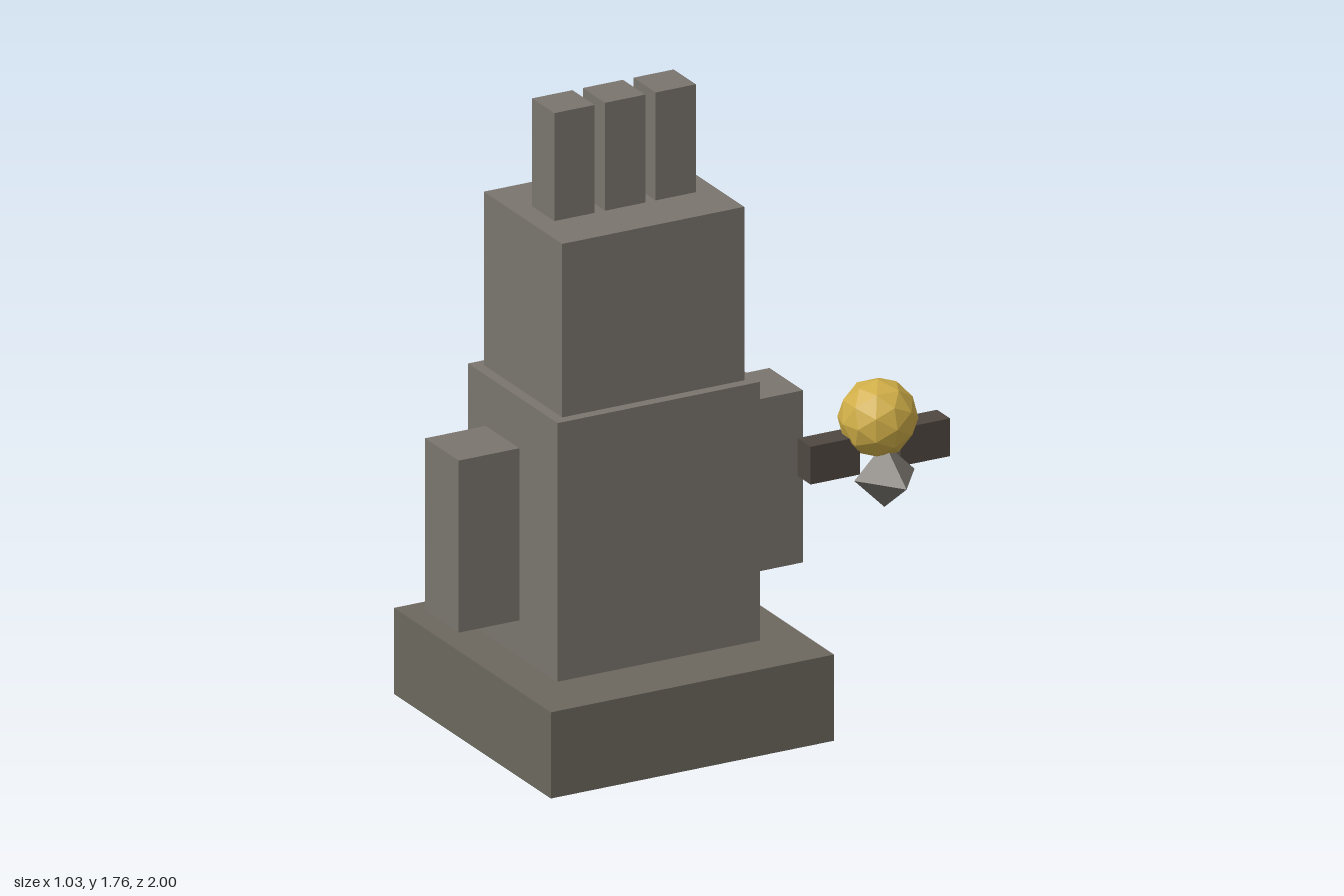
import * as THREE from 'three';

const material = (color) => new THREE.MeshStandardMaterial({ color, flatShading: true });

export function createModel() {
  const model = new THREE.Group();
  const stone = material(0x7a756e);
  const darkStone = material(0x6c685f);
  const wingMaterial = material(0x4f4841);
  const gold = material(0xd0ae48);

  const add = (parent, name, geometry, mat, x, y, z) => {
    const mesh = new THREE.Mesh(geometry, mat);
    mesh.name = name;
    mesh.position.set(x, y, z);
    parent.add(mesh);
    return mesh;
  };
  // Box placed by the height of its underside
  const block = (parent, name, mat, w, h, d, x, bottom, z) =>
    add(parent, name, new THREE.BoxGeometry(w, h, d), mat, x, bottom + h / 2, z);

  // Stepped stone statue at the back
  const statue = new THREE.Group();
  statue.name = 'statue';
  statue.position.z = -0.577;
  model.add(statue);
  block(statue, 'plinth', darkStone, 0.845, 0.242, 0.845, 0, 0, 0);
  block(statue, 'body', stone, 0.604, 0.726, 0.483, 0, 0.242, 0);
  block(statue, 'head', stone, 0.543, 0.487, 0.423, 0, 0.968, 0);
  for (const x of [-0.151, 0, 0.151])
    block(statue, 'crownProng', stone, 0.12, 0.303, 0.12, x, 1.455, 0);

  // Small bird floating in front
  const bird = new THREE.Group();
  bird.name = 'bird';
  model.add(bird);
  add(bird, 'birdBody', new THREE.IcosahedronGeometry(0.106, 1), gold, 0, 1.337, 0.845);
  const beak = new THREE.ConeGeometry(0.09, 0.12, 4).rotateX(Math.PI / 2);
  add(bird, 'beak', beak, stone, 0, 1.187, 0.94);

  // Mirrored arms and wings
  for (const [side, s] of [['left', 1], ['right', -1]]) {
    block(statue, side + 'Arm', stone, 0.181, 0.483, 0.181, s * 0.423, 0.368, 0);
    block(bird, side + 'Wing', wingMaterial, 0.148, 0.106, 0.07, s * 0.134, 1.192, 0.823);
  }
  return model;
}
